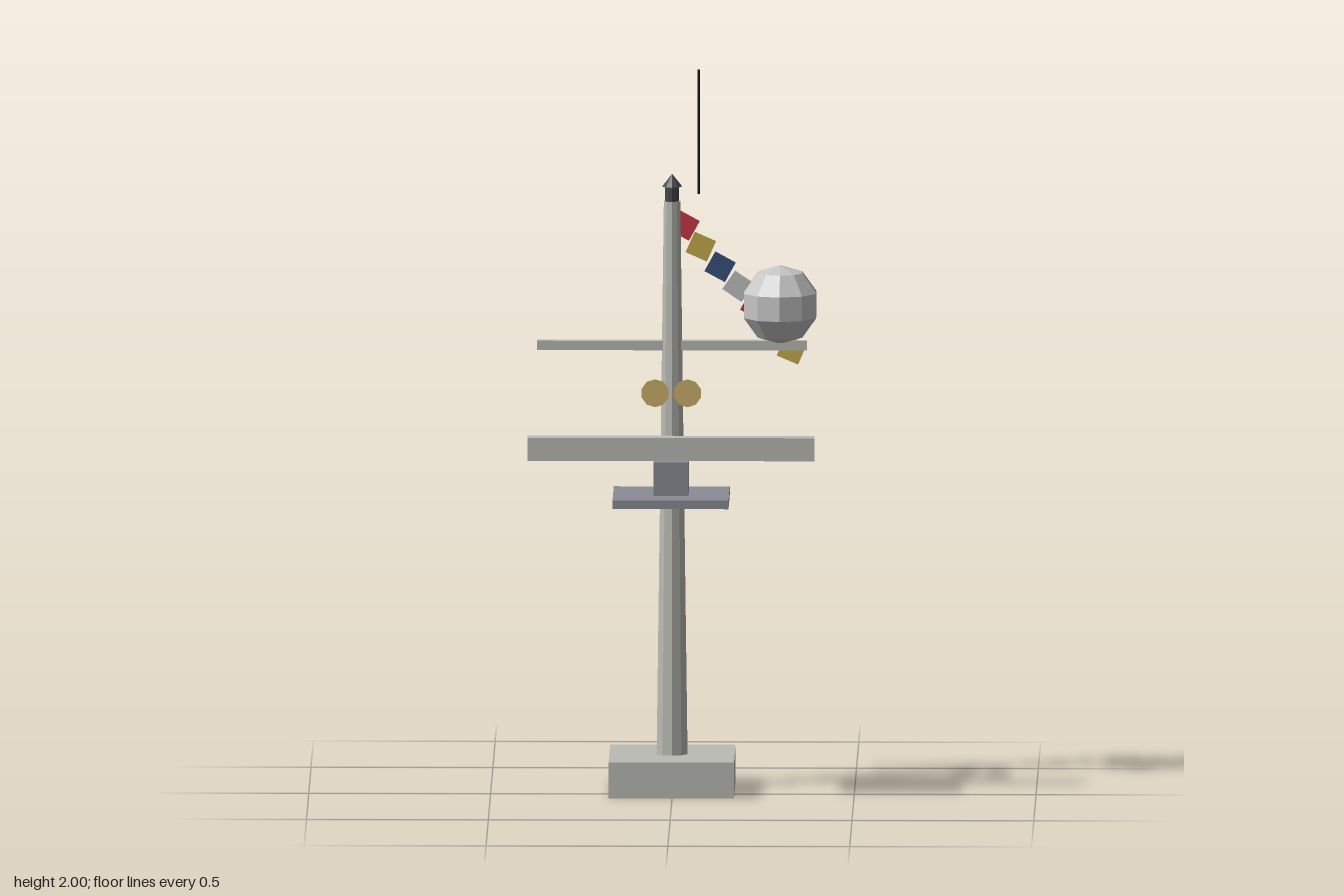
import * as THREE from 'three';

const CX = -0.002, CZ = -0.088; // pole axis

function material(name, color) {
  const m = new THREE.MeshStandardMaterial({ color });
  m.name = name;
  return m;
}

export function createModel() {
  const model = new THREE.Group();
  const concrete = material('concrete', 0xbcbcb6);
  const paleGrey = material('paleGrey', 0xc6c6c6);
  const slate = material('slate', 0x8a8e95);
  const brass = material('brass', 0xd0b26c);
  const charcoal = material('charcoal', 0x46464c);
  const black = material('black', 0x141416);
  const red = material('red', 0xcc3a48);
  const yellow = material('yellow', 0xc8b04c);
  const blue = material('blue', 0x36527f);

  // faceted parts use split vertices so that every side stays flat
  const add = (name, geometry, mat, x, y, z) => {
    const flat = geometry.toNonIndexed();
    flat.computeVertexNormals();
    const mesh = new THREE.Mesh(flat, mat);
    mesh.name = name;
    mesh.position.set(x, y, z);
    model.add(mesh);
    return mesh;
  };
  const box = (name, mat, w, h, d, x, y, z) =>
    add(name, new THREE.BoxGeometry(w, h, d), mat, x, y, z);
  const drum = (name, mat, rTop, rBottom, y0, y1, x = CX, sides = 10) =>
    add(name, new THREE.CylinderGeometry(rTop, rBottom, y1 - y0, sides), mat, x, (y0 + y1) / 2, CZ);

  // foot and mast
  box('base', concrete, 0.345, 0.1, 0.345, CX, 0.05, CZ);
  drum('mast', concrete, 0.0238, 0.0445, 0.1, 1.635);
  drum('lantern', charcoal, 0.02, 0.02, 1.63, 1.677);
  add('lanternRoof', new THREE.ConeGeometry(0.028, 0.035, 10), charcoal, CX, 1.693, CZ);
  drum('antenna', black, 0.004, 0.004, 1.655, 2.0, 0.071, 6);

  // cross beams
  box('upperBeam', concrete, 0.742, 0.026, 0.027, CX, 1.235, CZ);
  box('lowerBeam', concrete, 0.789, 0.064, 0.044, CX, 0.978, 0.122);

  // platform with its block
  box('platform', slate, 0.319, 0.024, 0.271, CX, 0.841, 0.1225);
  box('platformBlock', slate, 0.097, 0.093, 0.097, CX, 0.899, 0.122);

  // pair of horns, flaring forwards
  for (const side of [-1, 1]) {
    const horn = new THREE.CylinderGeometry(0.039, 0.011, 0.15, 10).rotateX(Math.PI / 2);
    add(side < 0 ? 'rightHorn' : 'leftHorn', horn, brass, CX + side * 0.0445, 1.128, 0.025);
  }

  // faceted ball
  add('ball', new THREE.SphereGeometry(0.11, 10, 5).rotateY(Math.PI / 2), paleGrey, 0.295, 1.348, CZ);

  // string of flags running down from the mast head: x, y, tilt, colour
  const flags = [
    [0.031, 1.567, -0.5, red],
    [0.077, 1.508, -0.42, yellow],
    [0.13, 1.452, -0.5, blue],
    [0.18, 1.398, -0.6, paleGrey],
    [0.228, 1.345, -0.5, red],
    [0.275, 1.29, -0.45, blue],
    [0.327, 1.222, -0.4, yellow],
  ];
  flags.forEach(([x, y, tilt, mat], i) => {
    box(`flag${i + 1}`, mat, 0.064, 0.062, 0.004, x, y, CZ - 0.003).rotation.z = tilt;
  });

  return model;
}
